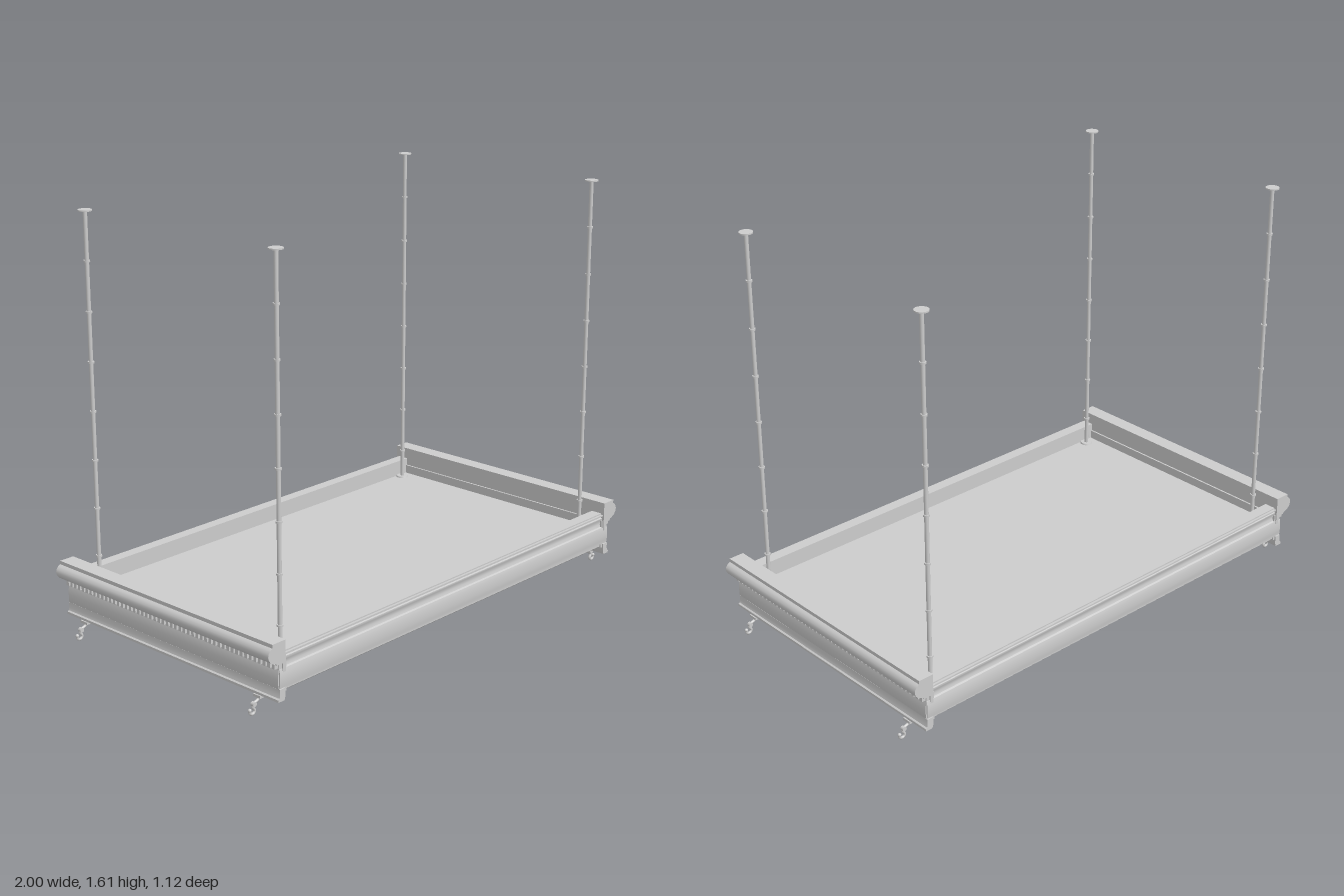
import * as THREE from 'three';
import { mergeGeometries, toCreasedNormals } from 'three/addons/utils/BufferGeometryUtils.js';

const plaster = new THREE.MeshStandardMaterial({ color: 0xcccccc, side: THREE.DoubleSide });
plaster.name = 'light grey';

export function createModel() {
  const root = new THREE.Group();
  root.name = 'hangingCanopy';

  const add = (name, geometry, parent = root, x = 0, y = 0, z = 0) => {
    const mesh = new THREE.Mesh(geometry, plaster);
    mesh.name = name;
    mesh.position.set(x, y, z);
    parent.add(mesh);
    return mesh;
  };
  const box = (w, h, d, x = 0, y = 0, z = 0) => new THREE.BoxGeometry(w, h, d).translate(x, y, z);

  // Extrude a profile of [across, y] points, centred along its length
  const moulding = (points, length, alongX = false) => {
    const shape = new THREE.Shape(points.map(([a, b]) => new THREE.Vector2(a, b)));
    let g = new THREE.ExtrudeGeometry(shape, { depth: length, bevelEnabled: false });
    g.translate(0, 0, -length / 2);
    if (alongX) g.rotateY(-Math.PI / 2);
    return toCreasedNormals(g, 0.65);
  };

  // Long front and back rails
  const railProfile = [
    [0.50, 0.10], [0.545, 0.10], [0.55, 0.105], [0.55, 0.113], [0.556, 0.116], [0.559, 0.13],
    [0.56, 0.15], [0.559, 0.175], [0.556, 0.187], [0.549, 0.19], [0.546, 0.2], [0.547, 0.212],
    [0.551, 0.22], [0.551, 0.225], [0.545, 0.227], [0.545, 0.231], [0.555, 0.234],
    [0.555, 0.24], [0.546, 0.24], [0.546, 0.245], [0.50, 0.245],
  ];
  // End walls, crown mouldings and flared feet
  const wallProfile = [
    [0.91, 0.10], [0.945, 0.10], [0.945, 0.114], [0.949, 0.12], [0.95, 0.15],
    [0.948, 0.18], [0.944, 0.19], [0.944, 0.215], [0.91, 0.215],
  ];
  const crownProfile = [
    [0.917, 0.175], [0.93, 0.175], [0.93, 0.208], [0.958, 0.208], [0.962, 0.215], [0.974, 0.219],
    [0.987, 0.226], [0.996, 0.237], [1.0, 0.25], [0.997, 0.262], [0.989, 0.272],
    [0.979, 0.277], [0.979, 0.291], [0.917, 0.291],
  ];
  const footProfile = [
    [0.92, 0.115], [0.92, 0.085], [0.925, 0.07], [0.955, 0.07], [0.955, 0.079],
    [0.949, 0.083], [0.946, 0.094], [0.946, 0.115],
  ];

  for (const turn of [0, Math.PI]) {
    const rail = add('longRail', moulding(railProfile, 1.89, true));
    rail.rotation.y = turn;

    const end = new THREE.Group();
    end.name = 'endAssembly';
    end.rotation.y = turn;
    root.add(end);
    add('endWall', moulding(wallProfile, 1.11), end);
    add('endCrown', moulding(crownProfile, 1.12), end);
    add('endFoot', moulding(footProfile, 1.12), end);

    // Row of dentils beneath the crown
    const dentils = [];
    for (let i = 0; i < 50; i++) {
      dentils.push(box(0.018, 0.018, 0.013, 0.952, 0.2, (i - 24.5) * 0.0222));
    }
    add('dentils', mergeGeometries(dentils), end);

    // Hooks under the feet
    for (const z of [-0.46, 0.46]) {
      const hook = new THREE.Group();
      hook.name = 'hook';
      hook.position.z = z;
      end.add(hook);
      add('hookPlate', box(0.03, 0.01, 0.036), hook, 0.945, 0.065);
      const curve = new THREE.CatmullRomCurve3([
        [0.945, 0.064], [0.955, 0.05], [0.972, 0.043], [0.978, 0.03], [0.97, 0.016],
        [0.977, 0.006], [0.99, 0.008], [0.994, 0.02],
      ].map(([x, y]) => new THREE.Vector3(x, y, 0)));
      add('hookArm', new THREE.TubeGeometry(curve, 28, 0.0055, 8), hook);
      add('hookTip', new THREE.SphereGeometry(0.007, 10, 8), hook, 0.993, 0.022);
      add('hookBoss', new THREE.CylinderGeometry(0.009, 0.009, 0.014, 12).rotateX(Math.PI / 2),
        hook, 0.974, 0.04);
    }
  }

  // Deck on top
  add('deck', box(1.84, 0.05, 1.02, 0, 0.155, 0));

  // Coffered underside: a plate with six openings
  const rect = (Type, w, d, x = 0, z = 0) => {
    const p = new Type();
    p.moveTo(x - w / 2, z - d / 2);
    p.lineTo(x + w / 2, z - d / 2);
    p.lineTo(x + w / 2, z + d / 2);
    p.lineTo(x - w / 2, z + d / 2);
    p.closePath();
    return p;
  };
  const centres = [];
  for (const x of [-0.626, 0, 0.626]) for (const z of [-0.285, 0.285]) centres.push([x, z]);
  const W = 0.5, D = 0.43;
  const plate = rect(THREE.Shape, 1.86, 1.06);
  for (const [x, z] of centres) plate.holes.push(rect(THREE.Path, W, D, x, z));
  add('cofferGrid', new THREE.ExtrudeGeometry(plate, { depth: 0.025, bevelEnabled: false })
    .rotateX(Math.PI / 2), root, 0, 0.131, 0);

  // Slim battens along the ribs
  for (const x of [-0.313, 0.313]) add('crossBatten', box(0.05, 0.006, 1.04), root, x, 0.104, 0);
  add('longBatten', box(1.84, 0.006, 0.05), root, 0, 0.104, 0);

  for (const [x, z] of centres) {
    const coffer = new THREE.Group();
    coffer.name = 'coffer';
    coffer.position.set(x, 0, z);
    root.add(coffer);
    // Stepped inner panel and round medallion
    add('cofferPanel', box(W - 0.06, 0.01, D - 0.06), coffer, 0, 0.127, 0);
    add('medallion', new THREE.CylinderGeometry(0.05, 0.056, 0.008, 32), coffer, 0, 0.12, 0);
    add('medallionRing', new THREE.TorusGeometry(0.056, 0.004, 6, 32).rotateX(Math.PI / 2),
      coffer, 0, 0.121, 0);
    // Beads around the opening
    const beads = [];
    const bead = (bx, bz) => beads.push(new THREE.SphereGeometry(0.004, 6, 4).translate(bx, 0.106, bz));
    for (const s of [-1, 1]) {
      for (let i = 0; i <= 20; i++) bead((i / 20 - 0.5) * (W + 0.03), s * (D + 0.03) / 2);
      for (let i = 1; i < 18; i++) bead(s * (W + 0.03) / 2, (i / 18 - 0.5) * (D + 0.03));
    }
    add('beading', mergeGeometries(beads), coffer);
  }

  // Jointed hanging rods with a flange at each end
  for (const x of [-0.86, 0.86]) for (const z of [-0.4775, 0.4775]) {
    const rod = new THREE.Group();
    rod.name = 'hangingRod';
    rod.position.set(x, 0, z);
    root.add(rod);
    add('rodShaft', new THREE.CylinderGeometry(0.008, 0.008, 1.43, 16), rod, 0, 0.893, 0);
    add('ceilingFlange', new THREE.CylinderGeometry(0.026, 0.026, 0.005, 24), rod, 0, 1.6075, 0);
    add('baseFlange', new THREE.CylinderGeometry(0.024, 0.026, 0.006, 24), rod, 0, 0.183, 0);
    for (let i = 0; i < 7; i++) {
      add('rodCollar', new THREE.CylinderGeometry(0.012, 0.012, 0.007, 16), rod, 0, 0.3 + i * 0.1873, 0);
    }
  }

  return root;
}
